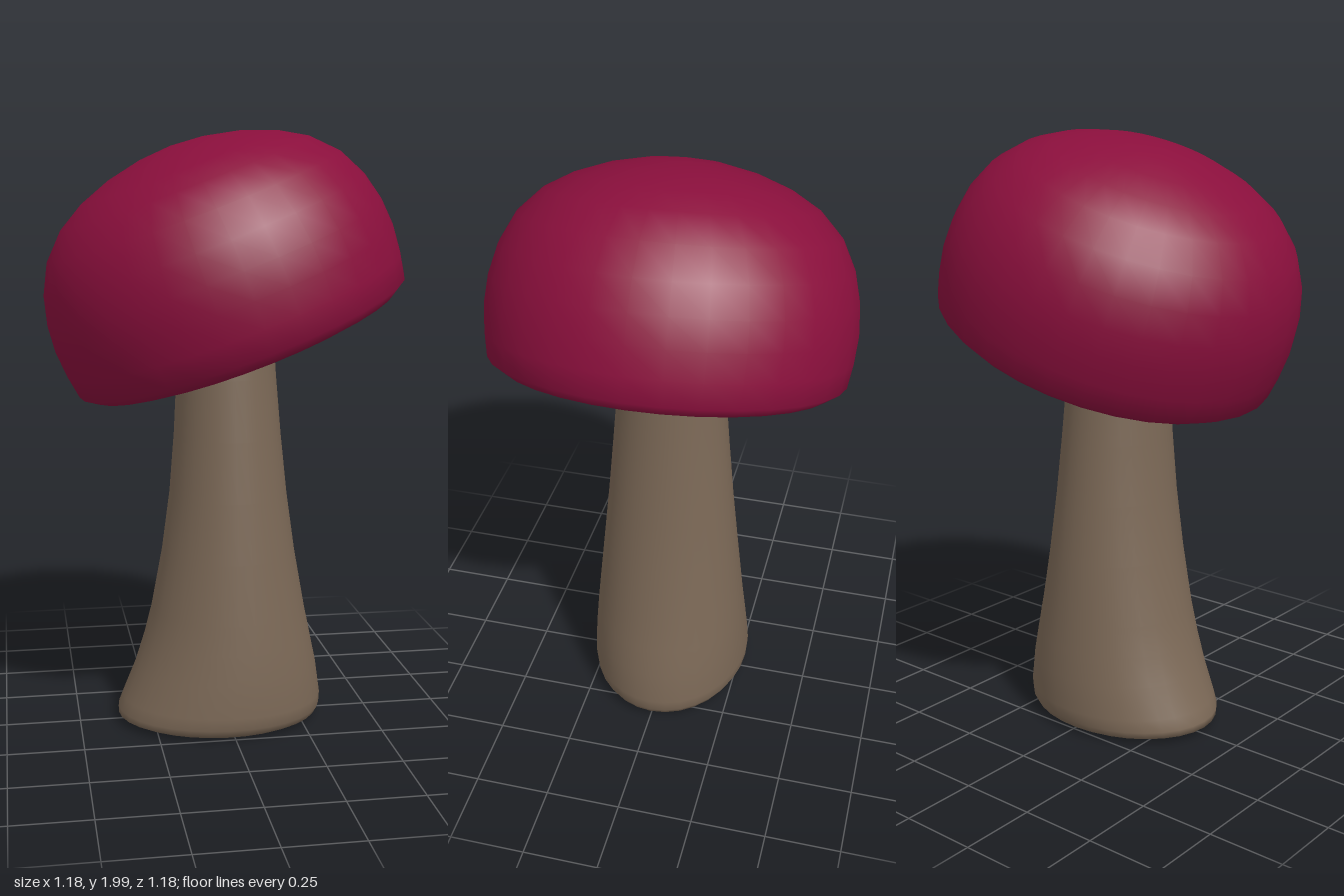
import * as THREE from 'three';
import { mergeVertices } from 'three/addons/utils/BufferGeometryUtils.js';

// weld the lathe seam and poles, then shade smoothly
function smooth(geometry) {
  geometry.deleteAttribute('uv');
  geometry.deleteAttribute('normal');
  const welded = mergeVertices(geometry, 1e-4);
  welded.computeVertexNormals();
  return welded;
}

function lathe(points, segments) {
  return new THREE.LatheGeometry(points.map(([x, y]) => new THREE.Vector2(x, y)), segments);
}

// cap: a thick shell with a curled lip around a hollow underside
function makeCap() {
  const profile = [
    [0, 0.56], [0.12, 0.55], [0.24, 0.51], [0.35, 0.44], [0.42, 0.34], [0.44, 0.24],
    [0.42, 0.16], [0.37, 0.115], [0.345, 0.095], [0.345, 0.075], [0.37, 0.05], [0.42, 0.017],
    [0.48, 0], [0.53, 0.012], [0.573, 0.042], [0.585, 0.12], [0.591, 0.21], [0.583, 0.3],
    [0.558, 0.395], [0.509, 0.49], [0.43, 0.57], [0.34, 0.622], [0.23, 0.662],
    [0.11, 0.687], [0, 0.695],
  ];
  const cap = new THREE.Mesh(
    smooth(lathe(profile, 32)),
    new THREE.MeshStandardMaterial({ color: 0x8a0f3c })
  );
  cap.name = 'cap';
  cap.position.set(0.07, 1.295, 0);
  cap.rotation.z = 0.361;
  return cap;
}

// stem: oval sections that spread toward one side at the foot
function makeStem() {
  // height, left edge x, right edge x, half depth
  const sections = [
    [0.006, 0, 0, 0],
    [0.006, -0.28, 0.23, 0.2],
    [0.01, -0.34, 0.29, 0.245],
    [0.022, -0.367, 0.318, 0.266],
    [0.045, -0.368, 0.331, 0.277],
    [0.085, -0.352, 0.333, 0.28],
    [0.2, -0.308, 0.317, 0.274],
    [0.3, -0.276, 0.296, 0.265],
    [0.4, -0.25, 0.275, 0.255],
    [0.6, -0.212, 0.239, 0.235],
    [0.8, -0.185, 0.211, 0.215],
    [1.0, -0.169, 0.19, 0.197],
    [1.2, -0.159, 0.173, 0.18],
    [1.45, -0.15, 0.157, 0.162],
    [1.84, -0.14, 0.145, 0.15],
    [1.84, 0, 0, 0],
  ];
  // unit tube whose y is the section index, then fitted to the sections
  const geometry = lathe(sections.map((s, i) => [1, i]), 32);
  const p = geometry.attributes.position;
  for (let i = 0; i < p.count; i++) {
    const [y, left, right, depth] = sections[Math.round(p.getY(i))];
    p.setXYZ(i, (left + right) / 2 + p.getX(i) * (right - left) / 2, y, p.getZ(i) * depth);
    // the foot slopes down slightly to the right
    if (y < 0.1) p.setY(i, y + 0.006 - p.getX(i) * 0.012);
  }
  const stem = new THREE.Mesh(
    smooth(geometry),
    new THREE.MeshStandardMaterial({ color: 0x7b6856 })
  );
  stem.name = 'stem';
  return stem;
}

export function createModel() {
  const mushroom = new THREE.Group();
  mushroom.name = 'mushroom';
  mushroom.add(makeStem(), makeCap());
  return mushroom;
}
